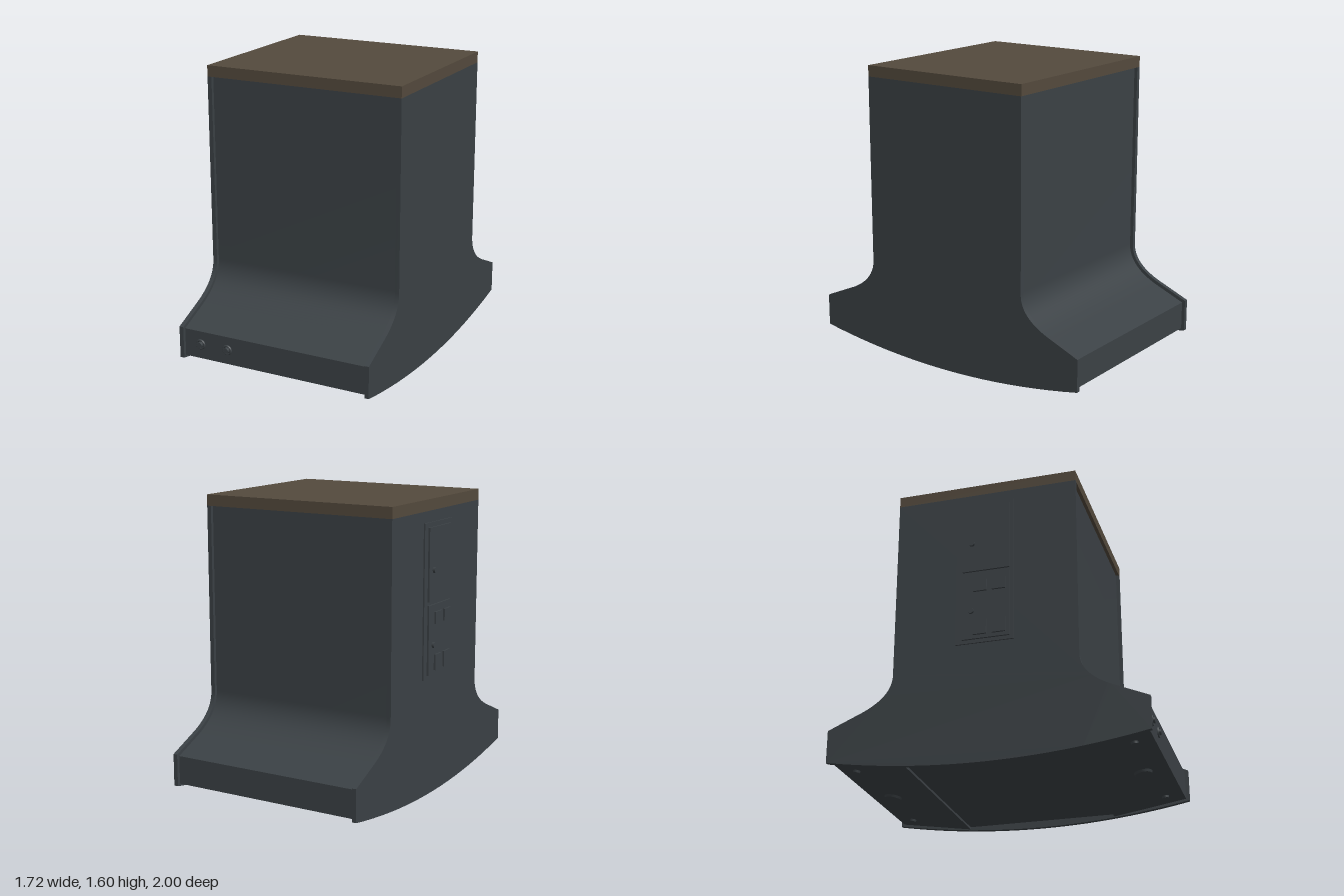
import * as THREE from 'three';
import { toCreasedNormals } from 'three/addons/utils/BufferGeometryUtils.js';

const bodyMat = new THREE.MeshStandardMaterial({ color: 0x3b4145 });
const capMat = new THREE.MeshStandardMaterial({ color: 0x544a3d });
const HALF_W = 0.56, PANEL_T = 0.024;

// Flared outline (x = depth, y = height): wide foot, concave shoulder, straight tower.
function outline(foot, tower, footTop, shoulderX, shoulderY, bendY, footBottom, addBottom) {
  const s = new THREE.Shape();
  s.moveTo(-foot, footBottom);
  addBottom(s);
  s.lineTo(foot, footTop);
  s.lineTo(shoulderX, shoulderY);
  s.quadraticCurveTo(tower, bendY, tower, 0.525);
  s.lineTo(tower, 1.54);
  s.lineTo(-tower, 1.54);
  s.lineTo(-tower, 0.525);
  s.quadraticCurveTo(-tower, bendY, -shoulderX, shoulderY);
  s.lineTo(-foot, footTop);
  s.closePath();
  return s;
}

// Extrude an outline across the width.
function across(shape, width) {
  const g = new THREE.ExtrudeGeometry(shape, { depth: width, bevelEnabled: false, curveSegments: 20 });
  g.translate(0, 0, -width / 2);
  g.rotateY(-Math.PI / 2);
  return toCreasedNormals(g, 0.4);
}

export function createModel() {
  const model = new THREE.Group();
  model.name = 'flaredCabinet';
  const body = new THREE.Group();
  body.name = 'turnedBody';
  body.rotation.y = -THREE.MathUtils.degToRad(24.8);
  model.add(body);

  const add = (name, geometry, x, y, z, material = bodyMat) => {
    const m = new THREE.Mesh(geometry, material);
    m.name = name;
    m.position.set(x, y, z);
    body.add(m);
    return m;
  };

  // Side panels with a curved underside
  const sideShape = outline(0.843, 0.496, 0.255, 0.67, 0.33, 0.405, 0.08,
    s => s.quadraticCurveTo(0, -0.08, 0.843, 0.08));
  const sideGeo = across(sideShape, PANEL_T);
  for (const s of [-1, 1]) add('sidePanel', sideGeo, s * (HALF_W - PANEL_T / 2), 0, 0);

  // Core set back between the panels, with a shallow recess underneath
  const coreShape = outline(0.825, 0.478, 0.243, 0.66, 0.314, 0.394, 0.09, s => {
    s.lineTo(-0.42, 0.025);
    s.lineTo(-0.42, 0.038);
    s.lineTo(0.42, 0.038);
    s.lineTo(0.42, 0.025);
    s.lineTo(0.825, 0.09);
  });
  add('core', across(coreShape, 2 * (HALF_W - PANEL_T)), 0, 0, 0);

  // Top cap
  add('topCap', new THREE.BoxGeometry(2 * HALF_W, 0.06, 0.992), 0, 1.57, 0, capMat);

  // Two round buttons on the front of the foot
  for (const x of [-0.44, -0.276]) {
    const ring = add('buttonRing', new THREE.TorusGeometry(0.023, 0.006, 8, 24), x, 0.17, 0.825);
    ring.scale.z = 1.3;
    const b = add('frontButton', new THREE.CylinderGeometry(0.015, 0.018, 0.03, 24), x, 0.17, 0.827);
    b.rotation.x = Math.PI / 2;
  }

  // Round fittings under each end of the foot
  for (const s of [-1, 1]) {
    for (const [x, z, r] of [[-0.42, 0.73, 0.022], [0, 0.69, 0.055], [0.42, 0.73, 0.022]]) {
      const f = add('undersideFitting', new THREE.CylinderGeometry(r, r * 0.8, 0.024, 28),
        x, 0.025 + (z - 0.42) * 0.16, s * z);
      f.rotation.x = -s * Math.atan(0.16);
    }
  }

  // Control panel on the right side; each block stands proud of the wall by `out`
  const block = (name, z0, z1, y0, y1, out) =>
    add(name, new THREE.BoxGeometry(out + 0.01, y1 - y0, z1 - z0),
      -HALF_W - out / 2 + 0.005, (y0 + y1) / 2, (z0 + z1) / 2);
  block('controlPlate', -0.157, 0.157, 0.65, 1.48, 0.008);
  block('upperDoor', -0.12, 0.135, 1.065, 1.455, 0.018);
  block('lowerDoor', -0.12, 0.135, 0.67, 1.045, 0.018);
  for (const z of [-0.058, 0.044]) {
    block('upperKey', z, z + 0.072, 0.94, 1.005, 0.028);
    block('lowerKey', z, z + 0.072, 0.69, 0.775, 0.028);
  }
  for (const y of [0.83, 1.23]) {
    const k = add('doorKnob', new THREE.CylinderGeometry(0.016, 0.016, 0.02, 20), -HALF_W - 0.02, y, -0.07);
    k.rotation.z = Math.PI / 2;
  }

  return model;
}
